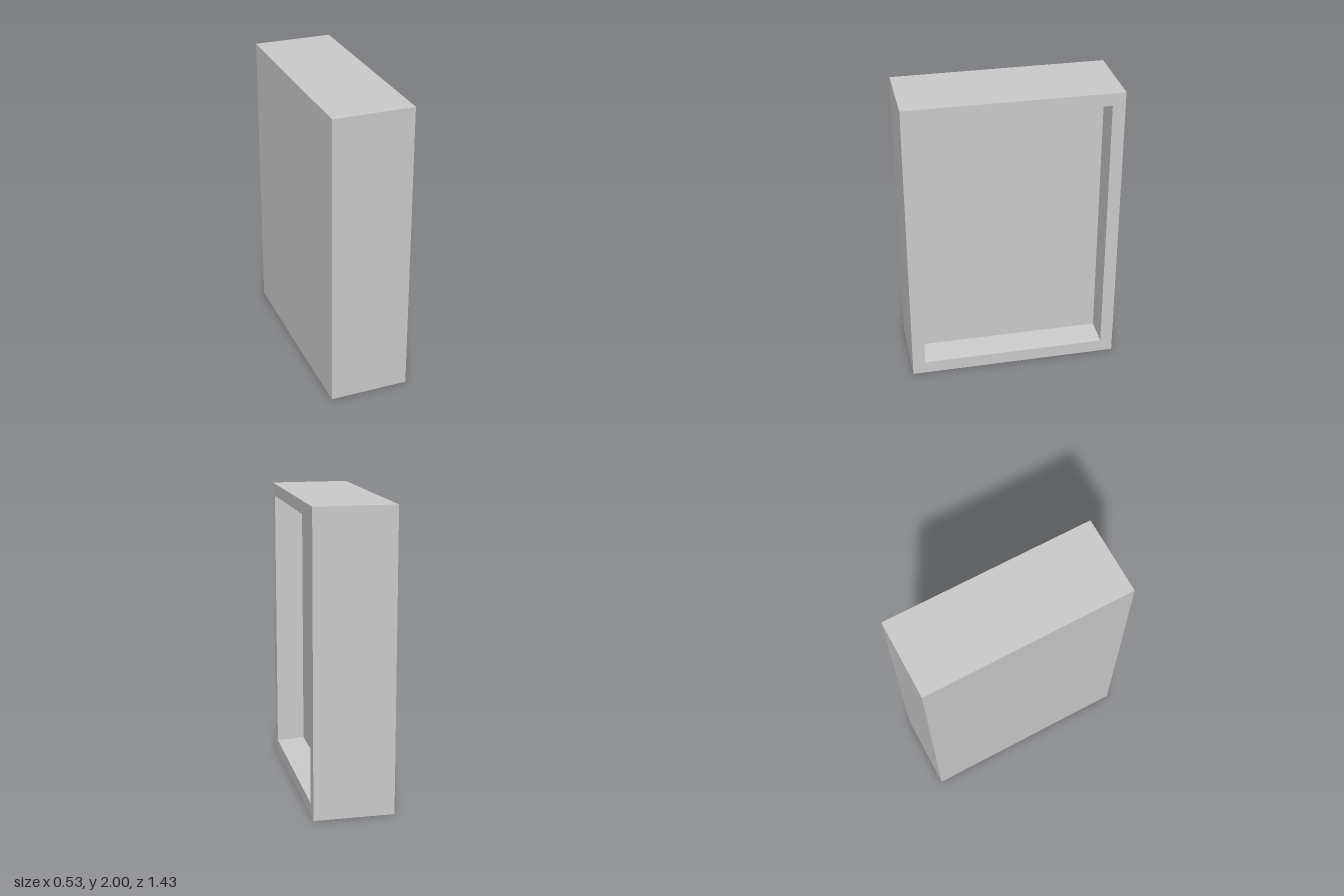
import * as THREE from 'three';

// Rectangular cross-section at x, counter-clockwise as seen from +x
function loop(x, halfZ, yLow, yHigh) {
  return [
    [x, yLow, halfZ],
    [x, yLow, -halfZ],
    [x, yHigh, -halfZ],
    [x, yHigh, halfZ],
  ];
}

// Skin consecutive four-cornered loops and cap both ends
function skin(loops) {
  const positions = [];
  const quad = (a, b, c, d) => positions.push(...a, ...b, ...c, ...a, ...c, ...d);
  for (let n = 0; n < loops.length - 1; n++) {
    for (let i = 0; i < 4; i++) {
      const j = (i + 1) % 4;
      quad(loops[n][i], loops[n][j], loops[n + 1][j], loops[n + 1][i]);
    }
  }
  quad(...[...loops[0]].reverse());
  quad(...loops[loops.length - 1]);
  const geometry = new THREE.BufferGeometry();
  geometry.setAttribute('position', new THREE.Float32BufferAttribute(positions, 3));
  geometry.computeVertexNormals();
  return geometry;
}

export function createModel() {
  const group = new THREE.Group();
  group.name = 'recessedCabinet';

  const halfX = 0.267;
  const halfZ = 0.713;
  const recessDepth = 0.195;

  // Solid block with a shallow recess in its +x side; the recess floor rises slightly inward
  const body = new THREE.Mesh(
    skin([
      loop(-halfX, halfZ, 0, 2),
      loop(halfX, halfZ, 0, 2),
      loop(halfX, 0.628, 0.087, 1.915),
      loop(halfX - recessDepth, 0.628, 0.098, 1.915),
    ]),
    new THREE.MeshStandardMaterial({ color: 0xcccccc, flatShading: true })
  );
  body.name = 'cabinetBody';
  group.add(body);

  return group;
}
